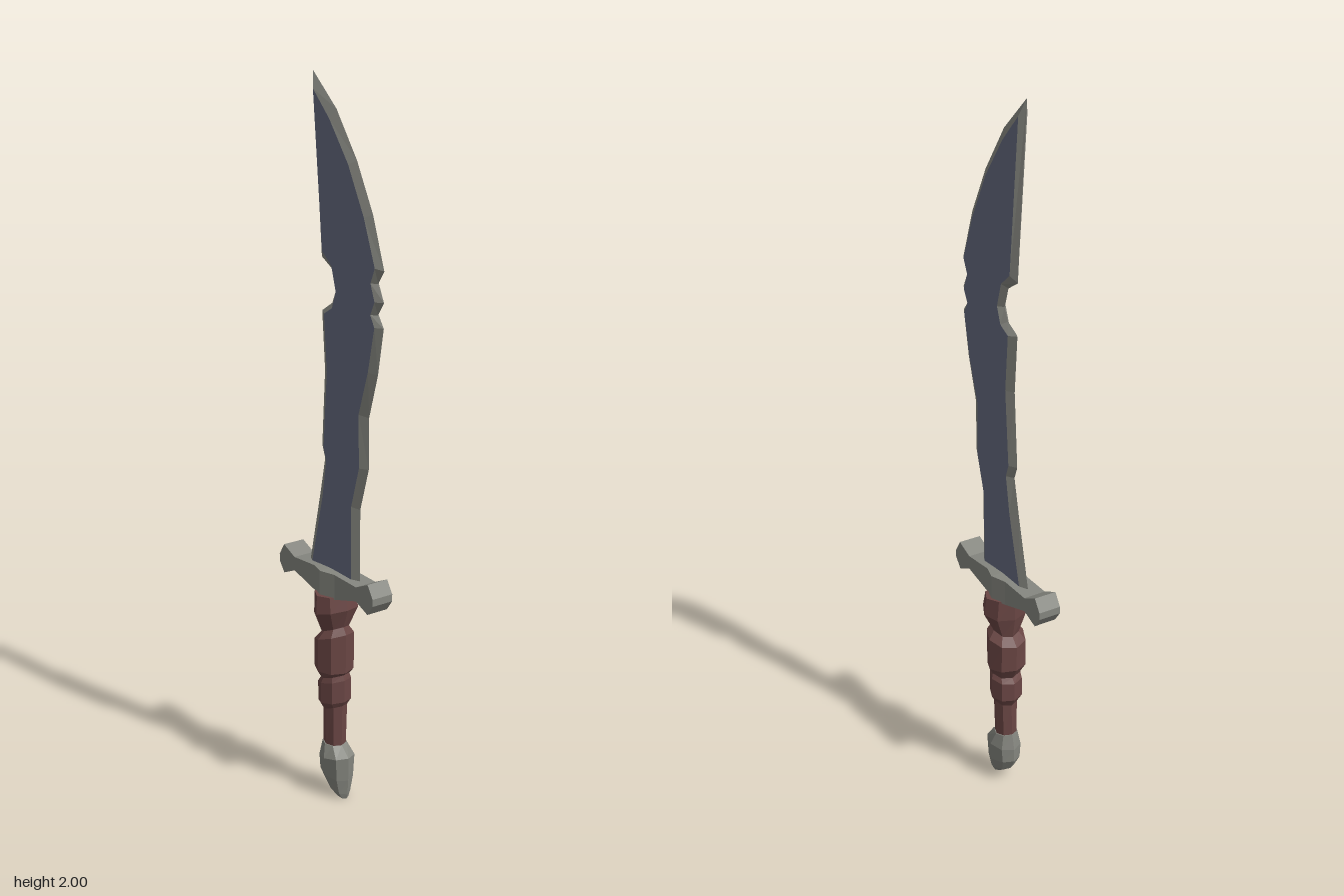
import * as THREE from 'three';

const steel = new THREE.MeshStandardMaterial({ name: 'greySteel', color: 0x85867f });
const blue = new THREE.MeshStandardMaterial({ name: 'blueSteel', color: 0x666b80 });
const leather = new THREE.MeshStandardMaterial({ name: 'redLeather', color: 0x6a4644 });
for (const m of [steel, blue, leather]) m.flatShading = true;

// Mesh from a list of triangles, each made of three [x, y, z] corners
function faceMesh(name, tris, material) {
  const geo = new THREE.BufferGeometry();
  geo.setAttribute('position', new THREE.Float32BufferAttribute(tris.flat(2), 3));
  geo.computeVertexNormals();
  const mesh = new THREE.Mesh(geo, material);
  mesh.name = name;
  return mesh;
}

// Skin over rings that run counter-clockwise about the loft direction, with capped ends
function loft(name, rings, material) {
  const tris = [];
  const n = rings[0].length;
  for (let i = 0; i < rings.length - 1; i++) {
    const a = rings[i], b = rings[i + 1];
    for (let j = 0; j < n; j++) {
      const k = (j + 1) % n;
      tris.push([a[j], a[k], b[k]], [a[j], b[k], b[j]]);
    }
  }
  const first = rings[0], last = rings[rings.length - 1];
  for (let j = 1; j < n - 1; j++) {
    tris.push([first[0], first[j + 1], first[j]], [last[0], last[j], last[j + 1]]);
  }
  return faceMesh(name, tris, material);
}

// Eight-sided tilted ring: height at left and right, x range, half depth
function ring([yL, yR, x0, x1, rz]) {
  return Array.from({ length: 8 }, (_, j) => {
    const a = (j * Math.PI) / 4;
    const t = (Math.cos(a) + 1) / 2;
    return [x0 + (x1 - x0) * t, yL + (yR - yL) * t, -Math.sin(a) * rz];
  });
}

function createBlade() {
  // Each row: cutting edge x, y, then flat face x, y; up the right and down the left
  const outline = [
    [0.115, 0.66, 0.092, 0.66], [0.115, 0.88, 0.092, 0.885], [0.15, 1.0, 0.125, 1.0],
    [0.15, 1.14, 0.122, 1.145], [0.185, 1.26, 0.16, 1.265], [0.207, 1.385, 0.185, 1.385],
    [0.183, 1.415, 0.168, 1.415], [0.207, 1.45, 0.185, 1.45], [0.183, 1.495, 0.168, 1.495],
    [0.207, 1.53, 0.185, 1.535], [0.16, 1.665, 0.14, 1.655], [0.095, 1.79, 0.075, 1.78],
    [0.01, 1.91, -0.003, 1.885], [-0.09, 2.0, -0.072, 1.955],
    [-0.053, 1.53, -0.035, 1.548], [-0.01, 1.505, 0.005, 1.515], [0.008, 1.45, 0.024, 1.45],
    [-0.008, 1.415, 0.008, 1.405], [-0.052, 1.388, -0.027, 1.385], [-0.04, 1.23, -0.015, 1.23],
    [-0.053, 1.02, -0.03, 1.02], [-0.04, 0.985, -0.018, 0.985], [-0.062, 0.88, -0.035, 0.88],
    [-0.112, 0.66, -0.088, 0.66],
  ];
  const t = 0.013;
  const flat = outline.map((p) => new THREE.Vector2(p[2], p[3]));
  const faces = THREE.ShapeUtils.triangulateShape(flat, []);
  const flatTris = [], edgeTris = [];
  for (const s of [1, -1]) {
    const add = (list, a, b, c) => list.push(s > 0 ? [a, b, c] : [a, c, b]);
    const inner = (i) => [flat[i].x, flat[i].y, s * t];
    for (const [a, b, c] of faces) add(flatTris, inner(a), inner(b), inner(c));
    outline.forEach((p, i) => {
      const k = (i + 1) % outline.length;
      const o = [p[0], p[1], 0], q = [outline[k][0], outline[k][1], 0];
      add(edgeTris, o, q, inner(k));
      add(edgeTris, o, inner(k), inner(i));
    });
  }
  const blade = new THREE.Group();
  blade.name = 'blade';
  blade.add(faceMesh('bladeFlats', flatTris, blue), faceMesh('bladeEdges', edgeTris, steel));
  return blade;
}

export function createModel() {
  const model = new THREE.Group();
  model.name = 'sword';
  model.add(createBlade());

  // Crossguard: x, bottom, top, half depth
  const guard = [
    [-0.212, 0.645, 0.665, 0.033], [-0.19, 0.615, 0.7, 0.033], [-0.14, 0.637, 0.677, 0.033],
    [-0.045, 0.61, 0.682, 0.033], [0, 0.61, 0.684, 0.049], [0.045, 0.61, 0.682, 0.033],
    [0.14, 0.637, 0.677, 0.033], [0.19, 0.615, 0.7, 0.033], [0.212, 0.645, 0.665, 0.033],
  ].map(([x, b, t, z]) => [[x, t, z], [x, b, z], [x, b, -z], [x, t, -z]]);
  model.add(loft('crossguard', guard, steel));

  // Grip with slanted wrapped bands, thicker toward the guard
  model.add(loft('grip', [
    [0.155, 0.155, -0.03, 0.035, 0.031], [0.26, 0.28, -0.028, 0.038, 0.034],
    [0.285, 0.295, -0.043, 0.047, 0.047], [0.34, 0.36, -0.043, 0.047, 0.047],
    [0.355, 0.375, -0.032, 0.042, 0.042], [0.39, 0.385, -0.053, 0.053, 0.056],
    [0.465, 0.5, -0.054, 0.055, 0.056], [0.49, 0.52, -0.033, 0.043, 0.038],
    [0.55, 0.575, -0.044, 0.062, 0.067], [0.615, 0.615, -0.045, 0.054, 0.062],
  ].map(ring), leather));

  // Lopsided pommel
  model.add(loft('pommel', [
    [0.012, 0.0, 0.015, 0.058, 0.016], [0.04, 0.015, -0.022, 0.062, 0.028],
    [0.075, 0.06, -0.042, 0.066, 0.041], [0.115, 0.13, -0.042, 0.068, 0.046],
    [0.162, 0.158, -0.032, 0.036, 0.034],
  ].map(ring), steel));
  return model;
}
